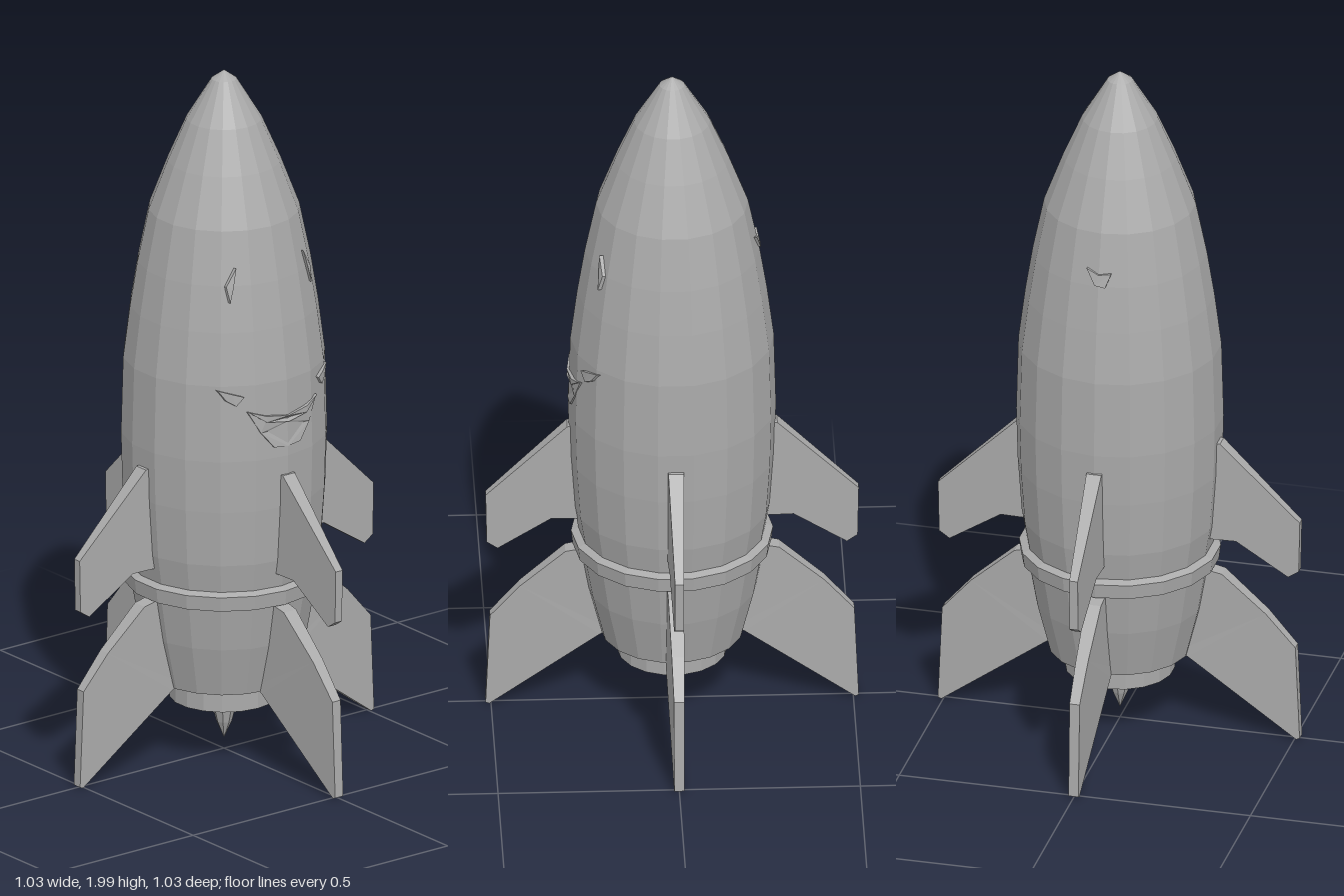
import * as THREE from 'three';

const SIDES = 18;
// Hull profile from the collar up to the tip: [radius, height]
const HULL = [[0.255, 0.54], [0.272, 0.64], [0.283, 0.8], [0.287, 0.95], [0.281, 1.17],
  [0.262, 1.32], [0.241, 1.45], [0.21, 1.6], [0.157, 1.74], [0.105, 1.86], [0.035, 1.975], [0, 2]];

function hullRadius(y) {
  for (let i = 1; i < HULL.length; i++) {
    const [r0, y0] = HULL[i - 1], [r1, y1] = HULL[i];
    if (y <= y1) return r0 + (r1 - r0) * (y - y0) / (y1 - y0);
  }
  return 0;
}

const toShape = pts => new THREE.Shape(pts.map(p => new THREE.Vector2(p[0], p[1])));

export function createModel() {
  const group = new THREE.Group();
  const grey = new THREE.MeshStandardMaterial({ color: 0xaaaaaa, flatShading: true });
  grey.name = 'grey';

  function add(name, geometry) {
    const mesh = new THREE.Mesh(geometry, grey);
    mesh.name = name;
    group.add(mesh);
    return mesh;
  }
  const lathe = (pts, sides = SIDES) =>
    new THREE.LatheGeometry(pts.map(p => new THREE.Vector2(p[0], p[1])), sides);

  // Body, collar, tail section and engine
  add('hull', lathe(HULL));
  add('collar', lathe([[0.25, 0.503], [0.274, 0.508], [0.279, 0.55], [0.255, 0.56]]));
  add('tail', lathe([[0, 0.235], [0.198, 0.235], [0.235, 0.38], [0.258, 0.51]]));
  add('nozzle', lathe([[0, 0.215], [0.115, 0.215], [0.125, 0.168], [0.152, 0.168], [0.152, 0.24]]));
  add('exhaustSpike', lathe([[0, 0.04], [0.022, 0.09], [0.042, 0.17], [0.035, 0.22]], 8));

  // Fin plate that gets thinner towards its outer edge
  function finGeometry(pts, inner, outer) {
    const g = new THREE.ExtrudeGeometry(toShape(pts), { depth: 1, bevelEnabled: false });
    const p = g.attributes.position;
    for (let i = 0; i < p.count; i++) {
      const t = THREE.MathUtils.clamp((p.getX(i) - 0.2) / 0.315, 0, 1);
      p.setZ(i, (p.getZ(i) - 0.5) * THREE.MathUtils.lerp(inner, outer, t));
    }
    return g;
  }
  const upperFin = finGeometry([[0.24, 0.6], [0.335, 0.6], [0.482, 0.505], [0.512, 0.525],
    [0.515, 0.675], [0.29, 0.895], [0.24, 0.9]], 0.05, 0.024);
  const lowerFin = finGeometry([[0.17, 0.245], [0.2, 0.23], [0.505, 0.008], [0.515, 0.012],
    [0.503, 0.29], [0.42, 0.385], [0.295, 0.495], [0.22, 0.51]], 0.05, 0.028);
  for (let i = 0; i < 4; i++) {
    add('upperFin', upperFin).rotation.y = i * Math.PI / 2;
    add('lowerFin', lowerFin).rotation.y = i * Math.PI / 2;
  }

  // Thin relief plate bent onto the front of the hull
  function relief(name, pts, height) {
    const g = new THREE.ExtrudeGeometry(toShape(pts), { depth: 1, bevelEnabled: false });
    const p = g.attributes.position;
    for (let i = 0; i < p.count; i++) {
      const x = p.getX(i), r = hullRadius(p.getY(i));
      p.setZ(i, Math.sqrt(r * r - x * x) - 0.012 + p.getZ(i) * (0.012 + height));
    }
    return add(name, g);
  }

  // Smiling face: mouth, lip line, cheeks and brows
  relief('mouth', [[-0.12, 1.095], [-0.085, 1.03], [-0.045, 0.982], [0, 0.978], [0.045, 0.982],
    [0.085, 1.03], [0.12, 1.095], [0.07, 1.062], [0, 1.052], [-0.07, 1.062]], 0.002);
  relief('upperLip', [[-0.12, 1.095], [-0.07, 1.06], [0, 1.05], [0.07, 1.06], [0.12, 1.095],
    [0.07, 1.078], [0, 1.068], [-0.07, 1.078]], 0.007);
  for (const s of [-1, 1]) {
    const mirror = pts => pts.map(([x, y]) => [x * s, y]);
    relief('cheek', mirror([[0.13, 1.14], [0.15, 1.115], [0.172, 1.13], [0.19, 1.16], [0.16, 1.15]]), 0.008);
    relief('brow', mirror([[0.118, 1.5], [0.13, 1.45], [0.142, 1.405], [0.147, 1.45]]), 0.007);
  }

  // Small raised notch on the back
  relief('backNotch', [[-0.035, 1.5], [-0.01, 1.455], [0.02, 1.45], [0.035, 1.49], [0, 1.485]], 0.005)
    .rotation.y = Math.PI;

  return group;
}
